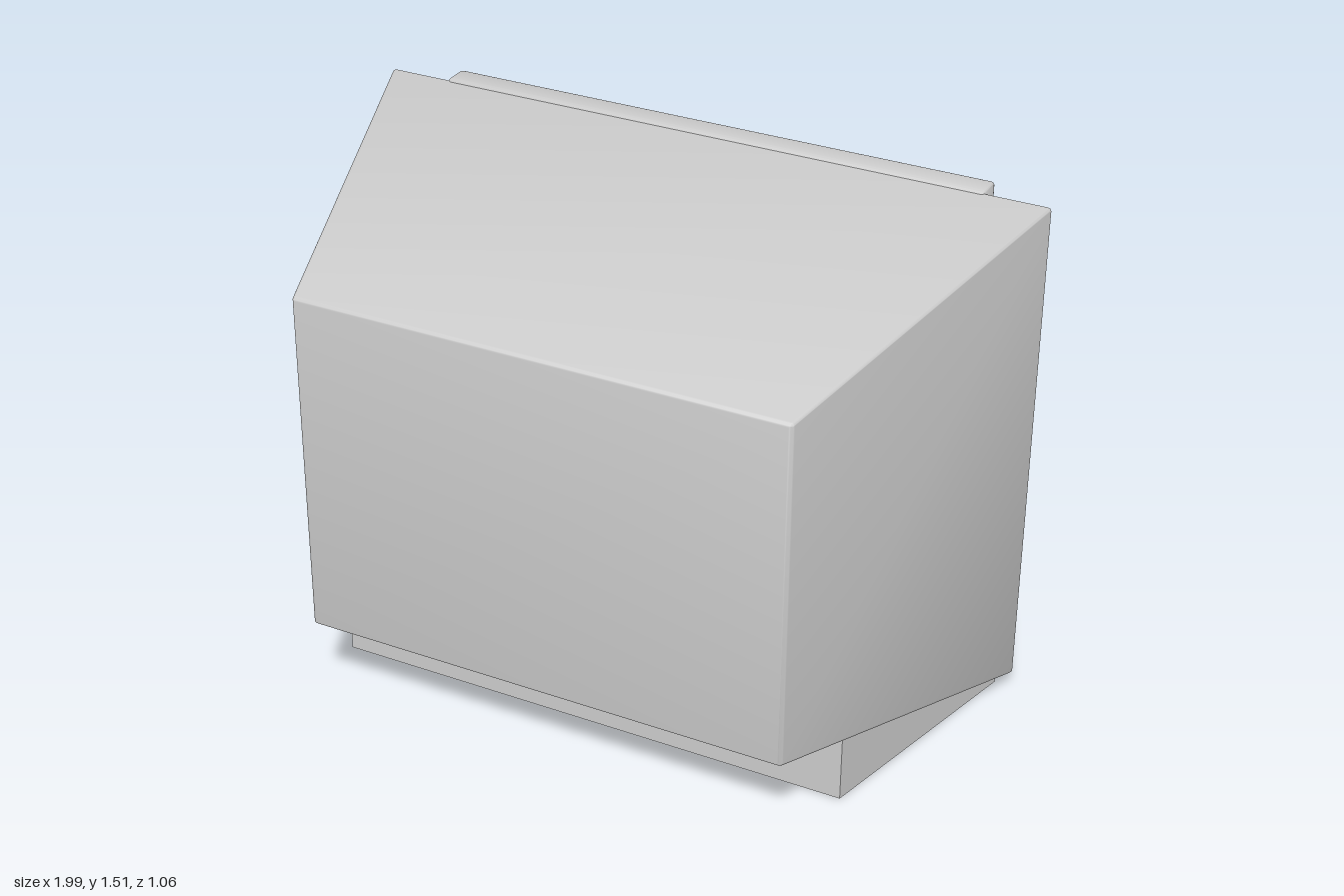
import * as THREE from 'three';
import { toCreasedNormals } from 'three/addons/utils/BufferGeometryUtils.js';
import { RoundedBoxGeometry } from 'three/addons/geometries/RoundedBoxGeometry.js';

const grey = new THREE.MeshStandardMaterial({ color: 0xcccccc });
const glass = new THREE.MeshStandardMaterial({ color: 0xcccccc, side: THREE.DoubleSide });
const FACE = -0.455; // z of the cabinet face that carries the screen

function add(parent, name, geometry, x = 0, y = 0, z = 0, material = grey) {
  const mesh = new THREE.Mesh(geometry, material);
  mesh.name = name;
  mesh.position.set(x, y, z);
  parent.add(mesh);
  return mesh;
}

// Rectangle outline with rounded corners, usable as a shape or a hole
function roundedRect(path, x0, y0, x1, y1, r) {
  path.moveTo(x0 + r, y0);
  path.lineTo(x1 - r, y0);
  path.absarc(x1 - r, y0 + r, r, -Math.PI / 2, 0);
  path.lineTo(x1, y1 - r);
  path.absarc(x1 - r, y1 - r, r, 0, Math.PI / 2);
  path.lineTo(x0 + r, y1);
  path.absarc(x0 + r, y1 - r, r, Math.PI / 2, Math.PI);
  path.lineTo(x0, y0 + r);
  path.absarc(x0 + r, y0 + r, r, Math.PI, Math.PI * 1.5);
  return path;
}

// Extrusion with its bevel kept inside the outline, spanning z = 0 to depth
function slab(shape, depth, bevel) {
  const g = new THREE.ExtrudeGeometry(shape, {
    depth: depth - 2 * bevel, bevelThickness: bevel, bevelSize: bevel,
    bevelOffset: -bevel, bevelSegments: 3, curveSegments: 8,
  });
  g.translate(0, 0, bevel);
  return toCreasedNormals(g, 0.6);
}

// Rounded box that tapers towards the back of the cabinet
function cabinetGeometry() {
  const depth = 0.985;
  const g = new RoundedBoxGeometry(2, 1.47, depth, 3, 0.012);
  const p = g.attributes.position;
  for (let i = 0; i < p.count; i++) {
    const t = p.getZ(i) / depth + 0.5;
    p.setX(i, p.getX(i) * (1 - 0.285 * t));
    p.setY(i, 0.775 + p.getY(i) * (1 - 0.306 * t));
  }
  g.translate(0, 0, FACE + depth / 2);
  return toCreasedNormals(g, 0.6);
}

// Picture tube face, bulging mostly across its width
function screenGeometry(w, h) {
  const g = new THREE.PlaneGeometry(w, h, 32, 12);
  g.rotateY(Math.PI);
  const p = g.attributes.position;
  for (let i = 0; i < p.count; i++) {
    const u = p.getX(i) / (w / 2), v = p.getY(i) / (h / 2);
    p.setZ(i, -0.03 * (1 - u * u) - 0.006 * (1 - v * v));
  }
  g.computeVertexNormals();
  return g;
}

export function createModel() {
  const tv = new THREE.Group();
  tv.name = 'television';

  add(tv, 'cabinet', cabinetGeometry());

  // Plinth, narrower at the back
  const plan = new THREE.Shape([
    [-0.95, 0.445], [0.95, 0.445], [0.775, -0.26], [-0.775, -0.26],
  ].map(([x, y]) => new THREE.Vector2(x, y)));
  const plinth = new THREE.ExtrudeGeometry(plan, { depth: 0.2, bevelEnabled: false });
  plinth.rotateX(-Math.PI / 2);
  add(tv, 'plinth', plinth);

  // Frame around the screen
  const frame = roundedRect(new THREE.Shape(), -0.815, 0.21, 0.815, 1.515, 0.012);
  frame.holes.push(roundedRect(new THREE.Path(), -0.735, 0.287, 0.735, 1.435, 0.012));
  add(tv, 'screenFrame', slab(frame, 0.085, 0.015), 0, 0, -0.525);
  add(tv, 'screen', screenGeometry(1.49, 1.17), 0, 0.861, FACE - 0.003, glass);

  // Control strip with a power switch and a row of six buttons
  const controls = new THREE.Group();
  controls.name = 'controls';
  tv.add(controls);
  const strip = roundedRect(new THREE.Shape(), -0.85, 0.09, 0.815, 0.168, 0.038);
  add(controls, 'controlStrip', slab(strip, 0.03, 0.005), 0, 0, -0.48);
  add(controls, 'powerSwitch', new RoundedBoxGeometry(0.09, 0.046, 0.026, 2, 0.004), 0.695, 0.128, -0.476);
  for (let i = 0; i < 6; i++) {
    add(controls, 'button', new RoundedBoxGeometry(0.066, 0.042, 0.026, 2, 0.004), -0.222 - i * 0.084, 0.128, -0.476);
  }
  return tv;
}
